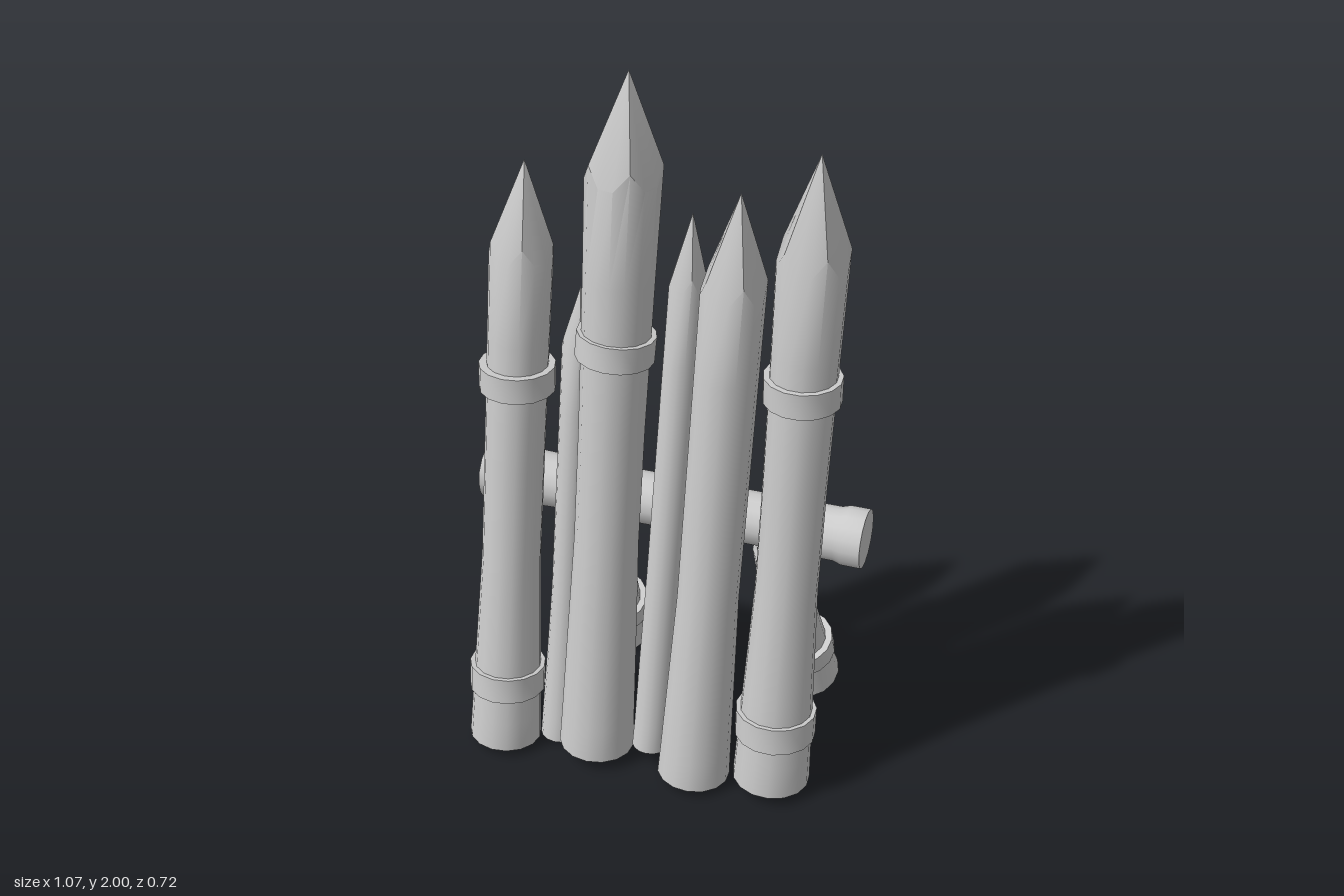
import * as THREE from 'three';
import { toCreasedNormals } from 'three/addons/utils/BufferGeometryUtils.js';

const material = new THREE.MeshStandardMaterial({ color: 0xcccccc });
const UP = new THREE.Vector3(0, 1, 0);
const FACETS = 5, SIDES = 15;

// Round log along +y; profile is [fraction, radius] rows, point is the length of the carved tip
function logGeometry(length, profile, point, turn) {
  const rows = profile.length - 1;
  const g = new THREE.CylinderGeometry(1, 1, 1, SIDES, rows);
  const p = g.attributes.position;
  const slice = (Math.PI * 2) / FACETS;
  for (let i = 0; i < p.count; i++) {
    const x = p.getX(i), z = p.getZ(i), f = p.getY(i) + 0.5;
    const [t, r] = profile[Math.round(f * rows)];
    let y = t * (length - point);
    if (f > 0.999 && point > 0) {
      // each facet is a flat cut, so the rim dips at the middle of a facet
      let a = Math.atan2(x, z);
      a = a - Math.round(a / slice - 0.5) * slice - slice / 2;
      y = Math.hypot(x, z) < 1e-4 ? length : length - point * Math.cos(a);
    }
    p.setXYZ(i, x * r, y, z * r);
  }
  g.rotateY(turn);
  return toCreasedNormals(g, 0.55);
}

// Raised collar around a log
function bandGeometry(inner, outer, height) {
  const h = height / 2;
  const pts = [[inner, -h], [outer, -h], [outer, h], [inner, h]].map(q => new THREE.Vector2(...q));
  return toCreasedNormals(new THREE.LatheGeometry(pts, SIDES), 0.55);
}

// Places a log from one point to another, with bands at [distance, outer radius, height]
function makeLog(name, from, to, profile, { point = 0, turn = 0, bands = [] } = {}) {
  const a = new THREE.Vector3(...from), b = new THREE.Vector3(...to);
  const dir = b.clone().sub(a);
  const length = dir.length();
  const group = new THREE.Group();
  group.name = name;
  const shaft = new THREE.Mesh(logGeometry(length, profile, point, turn), material);
  shaft.name = name + 'Shaft';
  group.add(shaft);
  bands.forEach(([d, outer, height], i) => {
    const band = new THREE.Mesh(bandGeometry(outer - 0.04, outer, height), material);
    band.name = name + 'Band' + (i + 1);
    band.position.y = d;
    band.rotation.set(0.03 * (i % 2 ? 1 : -1), turn, 0.03);
    group.add(band);
  });
  group.position.copy(a);
  group.quaternion.setFromUnitVectors(UP, dir.normalize());
  return group;
}

// Stake profile: flared foot, narrow waist, fuller shoulder
const stakeProfile = (foot, waist, shoulder) => [
  [0, foot], [0.06, foot * 0.97], [0.2, (foot + waist) / 2], [0.4, waist],
  [0.6, waist], [0.85, (waist + shoulder) / 2], [1, shoulder],
];

export function createModel() {
  const model = new THREE.Group();
  model.name = 'palisadeBarricade';

  // Sharpened stakes, leaning back
  const stakes = [
    { from: [-0.42, 0.02, 0.255], to: [-0.36, 1.73, 0.085], radii: [0.1, 0.08, 0.082], point: 0.26,
      bands: [[0.2, 0.105, 0.075], [1.13, 0.1, 0.07]] },
    { from: [-0.275, 0.01, 0.2], to: [-0.235, 1.38, 0.05], radii: [0.055, 0.042, 0.042], point: 0.17 },
    { from: [-0.155, 0.035, 0.225], to: [-0.085, 2.0, 0.085], radii: [0.104, 0.086, 0.096], point: 0.28,
      bands: [[1.25, 0.102, 0.07]] },
    { from: [0, 0.055, 0.215], to: [0.06, 1.63, 0.04], radii: [0.05, 0.046, 0.046], point: 0.2 },
    { from: [0.135, 0.02, 0.24], to: [0.198, 1.73, 0.095], radii: [0.1, 0.082, 0.082], point: 0.27 },
    { from: [0.347, 0.03, 0.2], to: [0.385, 1.85, 0.075], radii: [0.106, 0.083, 0.09], point: 0.29,
      bands: [[0.19, 0.11, 0.08], [1.21, 0.1, 0.07]] },
  ];
  stakes.forEach((s, i) => model.add(makeLog('stake' + (i + 1), s.from, s.to, stakeProfile(...s.radii),
    { point: s.point, turn: 0.4 + i * 1.3, bands: s.bands })));

  // Horizontal rail behind the stakes, with thicker ends
  model.add(makeLog('crossRail', [-0.535, 0.735, 0.008], [0.53, 0.735, 0.002], [
    [0, 0.083], [0.05, 0.083], [0.09, 0.078], [0.25, 0.073], [0.5, 0.072],
    [0.75, 0.072], [0.93, 0.073], [0.95, 0.08], [1, 0.08],
  ]));

  // Rear props with flared feet, a foot band and a collar near the rail
  const propProfile = [
    [0, 0.098], [0.1, 0.088], [0.22, 0.078], [0.4, 0.067], [0.65, 0.067],
    [0.74, 0.072], [0.76, 0.079], [0.86, 0.077], [0.88, 0.068], [1, 0.064],
  ];
  const props = [
    ['rightProp', [-0.275, 0.035, -0.27], [-0.222, 0.7, -0.05]],
    ['leftProp', [0.318, 0.035, -0.26], [0.275, 0.7, -0.035]],
  ];
  for (const [name, from, to] of props) {
    model.add(makeLog(name, from, to, propProfile, { bands: [[0.135, 0.097, 0.06]] }));
  }
  return model;
}
